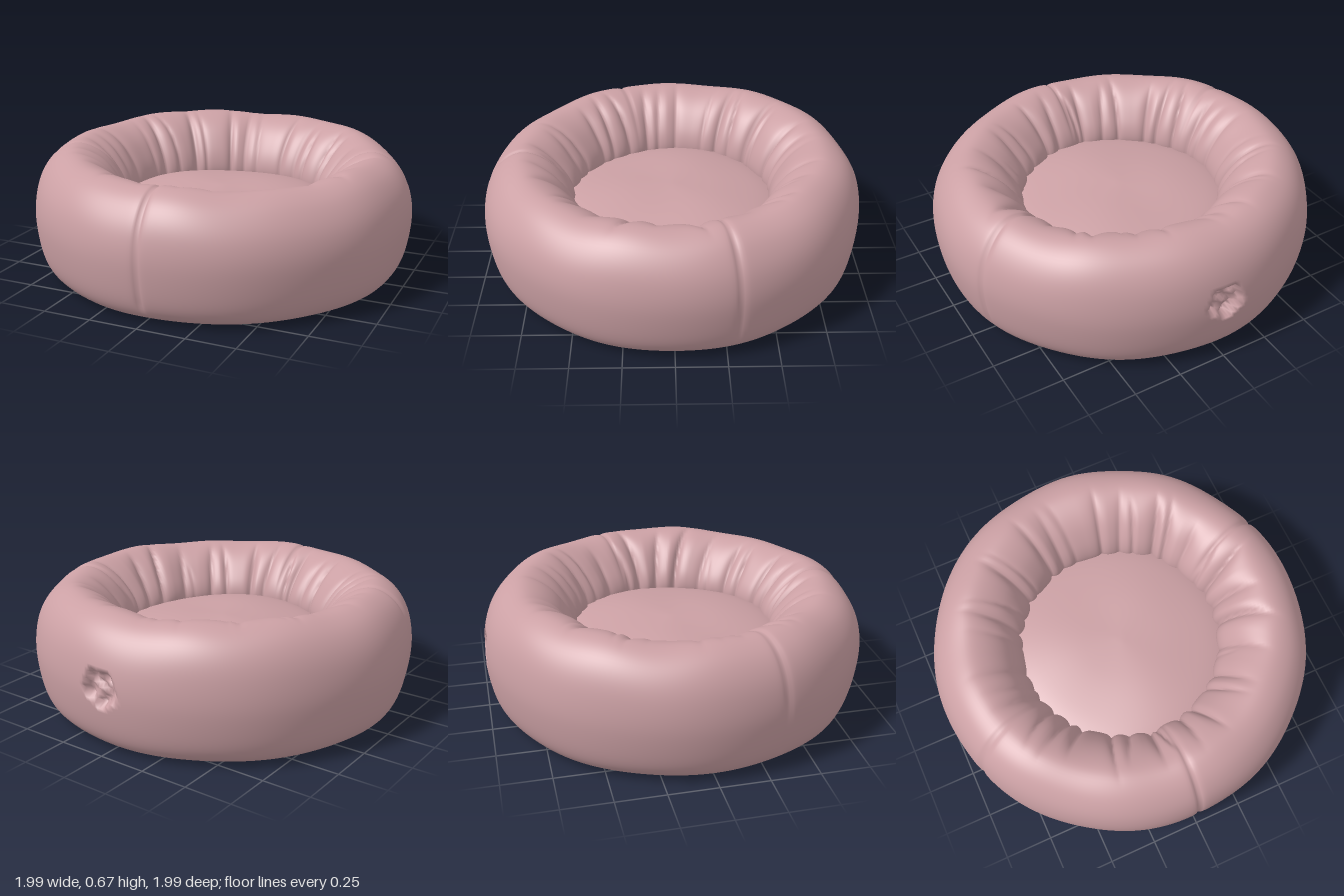
import * as THREE from 'three';
import { mergeVertices } from 'three/addons/utils/BufferGeometryUtils.js';

// small seeded random generator
let seed = 11;
const rand = () => {
  seed = (seed * 16807) % 2147483647;
  return seed / 2147483647;
};
const range = (a, b) => a + (b - a) * rand();
const smooth = THREE.MathUtils.smoothstep;

// signed shortest difference between two angles
const angleGap = (a, b) => Math.atan2(Math.sin(a - b), Math.cos(a - b));

// revolve a profile, then move each vertex by rule({ r, y, phi })
function softLathe(points, segments, rule) {
  let geo = new THREE.LatheGeometry(points, segments);
  geo.deleteAttribute('uv');
  geo.deleteAttribute('normal');
  geo = mergeVertices(geo, 1e-5);
  const pos = geo.attributes.position;
  for (let i = 0; i < pos.count; i++) {
    const x = pos.getX(i), z = pos.getZ(i);
    const p = { r: Math.hypot(x, z), y: pos.getY(i), phi: Math.atan2(x, z) };
    rule(p);
    pos.setXYZ(i, p.r * Math.sin(p.phi), p.y, p.r * Math.cos(p.phi));
  }
  geo.computeVertexNormals();
  return geo;
}

const profile = (pairs, n) =>
  new THREE.SplineCurve(pairs.map(([r, y]) => new THREE.Vector2(r, y))).getSpacedPoints(n);

// gathered folds around the inside of the bolster
const FOLDS = 34;
const folds = Array.from({ length: FOLDS }, (_, i) => ({
  phi: ((i + range(-0.35, 0.35)) / FOLDS) * Math.PI * 2,
  depth: range(0.01, 0.05),
  width: range(0.025, 0.055),
  reach: range(0.74, 0.92),
  slant: range(-0.4, 0.4),
}));

// three seams joining the bolster panels
const seams = [0, 1.885, -1.22];

function bolsterRule(p) {
  const r0 = p.r, y0 = p.y, phi = p.phi;
  const top = smooth(y0, 0.3, 0.6);

  // soft uneven stuffing, lower towards the front left
  p.y += top * (0.006 * Math.sin(5 * phi + 1) + 0.004 * Math.sin(11 * phi));
  p.y -= top * 0.021 * (1 + Math.cos(phi - 0.7));
  p.r -= 0.003 * (1 + Math.sin(9 * phi + 4 * y0)) * smooth(r0, 0.8, 0.95);

  // folds pull the inner wall outwards and down
  if (y0 > 0.2) {
    let pull = 0;
    for (const f of folds) {
      const gap = Math.abs(angleGap(phi, f.phi + f.slant * (r0 - 0.55)));
      const fade = 1 - smooth(r0, 0.58, f.reach);
      pull = Math.max(pull, f.depth * fade * Math.exp(-gap / f.width));
    }
    p.r += pull * 0.8;
    p.y -= pull * 0.6;
  }

  // seam grooves over the outside and the top
  for (const s of seams) {
    const groove = Math.exp(-Math.abs(angleGap(phi, s)) / 0.012);
    p.r -= 0.014 * groove * smooth(r0, 0.8, 0.9) * smooth(y0, 0.04, 0.12);
    p.y -= 0.016 * groove * top;
  }

  // crumpled opening in the back of the cover
  const u = (angleGap(phi, Math.PI) * r0) / 0.095, v = (y0 - 0.35) / 0.085;
  const d = Math.hypot(u, v) + 0.08 * Math.sin(5 * Math.atan2(v, u));
  if (r0 > 0.85 && d < 1.1) {
    const crumple = Math.sin(5 * u + 3 * v + 2 * Math.sin(4 * v)) * Math.cos(4 * v - 3 * u * u);
    p.r -= (1 - smooth(d, 0.9, 1.05)) * (0.045 + 0.02 * crumple);
  }
}

export function createModel() {
  const group = new THREE.Group();
  group.name = 'roundPetBed';
  const fabric = new THREE.MeshStandardMaterial({ color: 0xcba0a4 });
  fabric.name = 'dusty pink fabric';

  const add = (name, geo) => {
    const mesh = new THREE.Mesh(geo, fabric);
    mesh.name = name;
    group.add(mesh);
  };

  // padded ring, from under the base, up the outside and down the inner wall
  add('bolster', softLathe(profile([
    [0.63, 0.03], [0.69, 0.01], [0.79, 0.004], [0.88, 0.012], [0.942, 0.055],
    [0.98, 0.15], [1.0, 0.31], [0.985, 0.45], [0.945, 0.555], [0.88, 0.627],
    [0.79, 0.664], [0.7, 0.645], [0.615, 0.585], [0.55, 0.49], [0.52, 0.4],
    [0.525, 0.33], [0.57, 0.26],
  ], 84), 384, bolsterRule));

  // domed sleeping cushion
  add('cushion', softLathe(profile([
    [0.64, 0.3], [0.56, 0.35], [0.44, 0.388], [0.25, 0.418], [0, 0.43],
  ], 20), 64, (p) => {
    p.y += 0.008 * Math.sin(3 * p.phi + 1) * smooth(p.r, 0, 0.4);
  }));

  // flat underside panel
  add('base', softLathe([
    new THREE.Vector2(0, 0.008), new THREE.Vector2(0.4, 0.008),
    new THREE.Vector2(0.66, 0.01), new THREE.Vector2(0.675, 0.03),
  ], 64, () => {}));

  return group;
}
